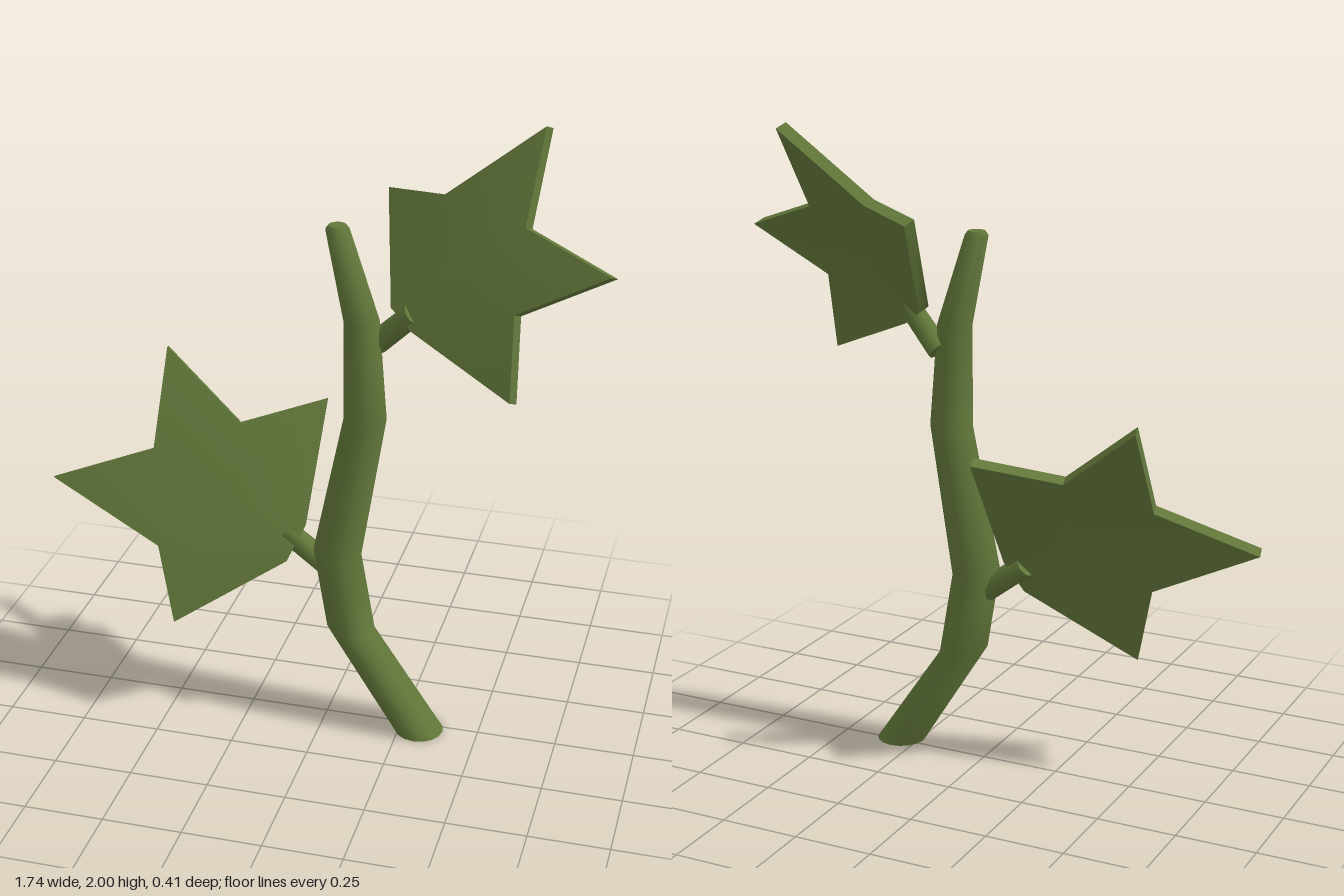
import * as THREE from 'three';
import { toCreasedNormals } from 'three/addons/utils/BufferGeometryUtils.js';

const green = new THREE.MeshStandardMaterial({ color: 0x62773a });
green.name = 'leaf green';

function addMesh(group, name, geometry) {
  const mesh = new THREE.Mesh(toCreasedNormals(geometry, 0.8), green);
  mesh.name = name;
  group.add(mesh);
}

// Bent, tapering stem made of level rings: [x, y, radius] from bottom to top
function stemGeometry() {
  const rings = [
    [0.312, 0.0, 0.078], [0.085, 0.347, 0.076], [0.04, 0.612, 0.075],
    [0.125, 1.08, 0.066], [0.112, 1.4, 0.054], [0.038, 1.68, 0.036], [0.038, 1.693, 0.027],
  ];
  const last = rings.length - 1;
  const geo = new THREE.CylinderGeometry(1, 1, 1, 16, last);
  const p = geo.attributes.position;
  for (let i = 0; i < p.count; i++) {
    const [x, y, r] = rings[Math.round((p.getY(i) + 0.5) * last)];
    // a small tilt mitres the joint at the lower bends
    const tilt = y > 0.3 && y < 0.7 ? -0.15 * r * p.getX(i) : 0;
    p.setXYZ(i, x + r * p.getX(i), y + tilt, 0.026 + r * p.getZ(i));
  }
  return geo;
}

// Domed star leaf: outline of [x, y, rise] on the plane z = a(x-cx) + b(y-cy) + cz
function leafGeometry(outline, centre, [a, b, cx, cy, cz]) {
  const n = outline.length;
  const normal = new THREE.Vector3(-a, -b, 1).normalize();
  const half = 0.021;
  const pos = [], idx = [];
  for (const side of [1, -1]) {
    for (const [x, y, rise] of [...outline, centre]) {
      const v = new THREE.Vector3(x, y, a * (x - cx) + b * (y - cy) + cz + rise);
      v.addScaledVector(normal, side * half);
      pos.push(v.x, v.y, v.z);
    }
  }
  const back = n + 1;
  for (let i = 0; i < n; i++) {
    const j = (i + 1) % n;
    idx.push(n, i, j, back + n, back + j, back + i); // front and back faces
    idx.push(i, back + i, back + j, i, back + j, j); // rim
  }
  const geo = new THREE.BufferGeometry();
  geo.setAttribute('position', new THREE.Float32BufferAttribute(pos, 3));
  geo.setIndex(idx);
  return geo;
}

// Short stalk between the stem and a leaf
function stalkGeometry(from, to) {
  const path = new THREE.LineCurve3(new THREE.Vector3(...from), new THREE.Vector3(...to));
  const length = path.getLength();
  const geo = new THREE.CylinderGeometry(0.036, 0.038, length, 8);
  const dir = path.getTangent(0);
  geo.applyQuaternion(new THREE.Quaternion().setFromUnitVectors(new THREE.Vector3(0, 1, 0), dir));
  const mid = path.getPoint(0.5);
  return geo.translate(mid.x, mid.y, mid.z);
}

export function createModel() {
  const group = new THREE.Group();
  group.name = 'leafyTwig';
  addMesh(group, 'stem', stemGeometry());

  // Upper leaf
  const d = 0.045;
  addMesh(group, 'upperLeaf', leafGeometry([
    [0.86, 1.645, 0], [0.598, 1.735, d], [0.622, 1.99, 0], [0.34, 1.772, d], [0.148, 1.742, 0],
    [0.205, 1.44, d], [0.28, 1.39, d], [0.6, 1.258, 0], [0.592, 1.505, d],
  ], [0.42, 1.6, 0.06], [0.38, -0.427, 0.557, 1.66, -0.005]));
  addMesh(group, 'upperStalk', stalkGeometry([0.15, 1.32, -0.005], [0.27, 1.44, 0.03]));

  // Lower leaf
  addMesh(group, 'lowerLeaf', leafGeometry([
    [-0.046, 1.036, 0], [-0.295, 0.978, d], [-0.55, 1.18, 0], [-0.552, 0.898, d], [-0.865, 0.79, 0],
    [-0.512, 0.612, d], [-0.455, 0.366, 0], [-0.115, 0.575, d], [-0.068, 0.68, d],
  ], [-0.33, 0.78, 0.06], [-0.221, -0.387, -0.479, 0.845, -0.01]));
  addMesh(group, 'lowerStalk', stalkGeometry([0.01, 0.555, 0.02], [-0.13, 0.66, 0.02]));
  return group;
}
